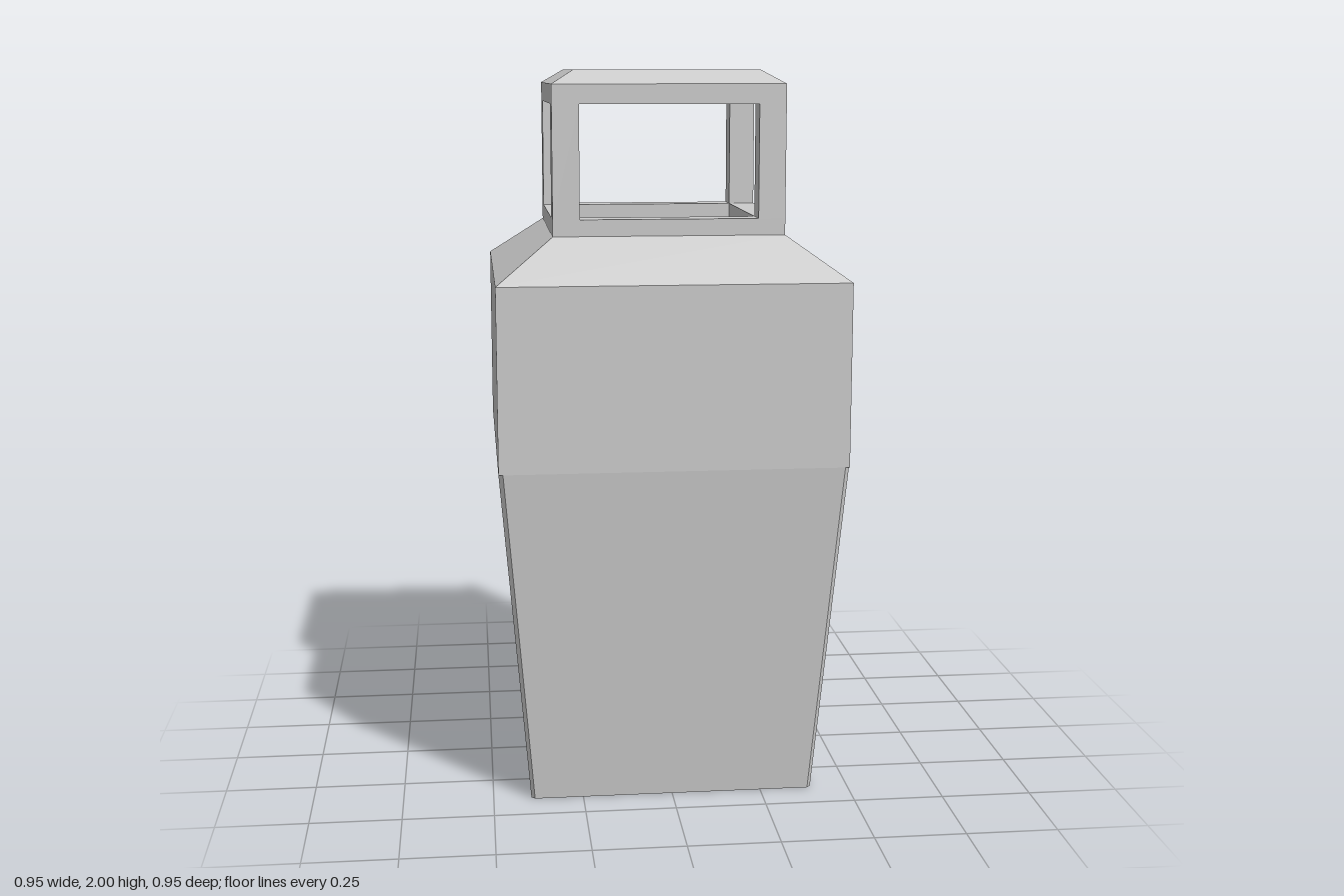
import * as THREE from 'three';

const material = new THREE.MeshStandardMaterial({ color: 0xcccccc, flatShading: true });

// Square ring at height y: half-width h, corners cut by c
function ring([y, h, c = 0]) {
  const points = [];
  for (const [px, pz] of [[h - c, h], [h, h - c]]) points.push(new THREE.Vector3(px, y, pz));
  for (let i = 2; i < 8; i++) {
    const p = points[i - 2];
    points.push(new THREE.Vector3(p.z, y, -p.x)); // quarter turn
  }
  return points;
}

// Skin a list of [y, halfWidth, cut] sections, like a four-sided lathe
function squareLoft(name, sections) {
  const positions = [];
  const tri = (a, b, c) => {
    const area = b.clone().sub(a).cross(c.clone().sub(a)).length();
    if (area > 1e-9) for (const p of [a, b, c]) positions.push(p.x, p.y, p.z);
  };
  const rings = sections.map(ring);
  for (let s = 0; s < rings.length - 1; s++) {
    const lo = rings[s], hi = rings[s + 1];
    for (let i = 0; i < 8; i++) {
      const j = (i + 1) % 8;
      tri(lo[i], lo[j], hi[j]);
      tri(lo[i], hi[j], hi[i]);
    }
  }
  const geometry = new THREE.BufferGeometry();
  geometry.setAttribute('position', new THREE.Float32BufferAttribute(positions, 3));
  geometry.computeVertexNormals();
  const mesh = new THREE.Mesh(geometry, material);
  mesh.name = name;
  return mesh;
}

export function createModel() {
  const group = new THREE.Group();
  group.name = 'litterBin';

  // Tapered base with cut corners, upright upper body, shoulder, rim and inner shaft
  group.add(squareLoft('body', [
    [0, 0], [0, 0.395, 0.01],
    [0.945, 0.473, 0.012], [0.945, 0.473],
    [1.445, 0.473], [1.56, 0.315], [1.605, 0.315],
    [1.605, 0.242], [0.05, 0.242], [0.05, 0],
  ]));

  // Corner posts framing the four openings
  const posts = new THREE.Group();
  posts.name = 'cornerPosts';
  const postGeometry = new THREE.BoxGeometry(0.073, 0.305, 0.073);
  for (const x of [-1, 1]) {
    for (const z of [-1, 1]) {
      const post = new THREE.Mesh(postGeometry, material);
      post.name = 'cornerPost';
      post.position.set(x * 0.2785, 1.7575, z * 0.2785);
      posts.add(post);
    }
  }
  group.add(posts);

  // Bevelled lid
  group.add(squareLoft('lid', [
    [1.91, 0], [1.91, 0.315], [1.963, 0.315], [2, 0.253], [2, 0],
  ]));

  return group;
}
